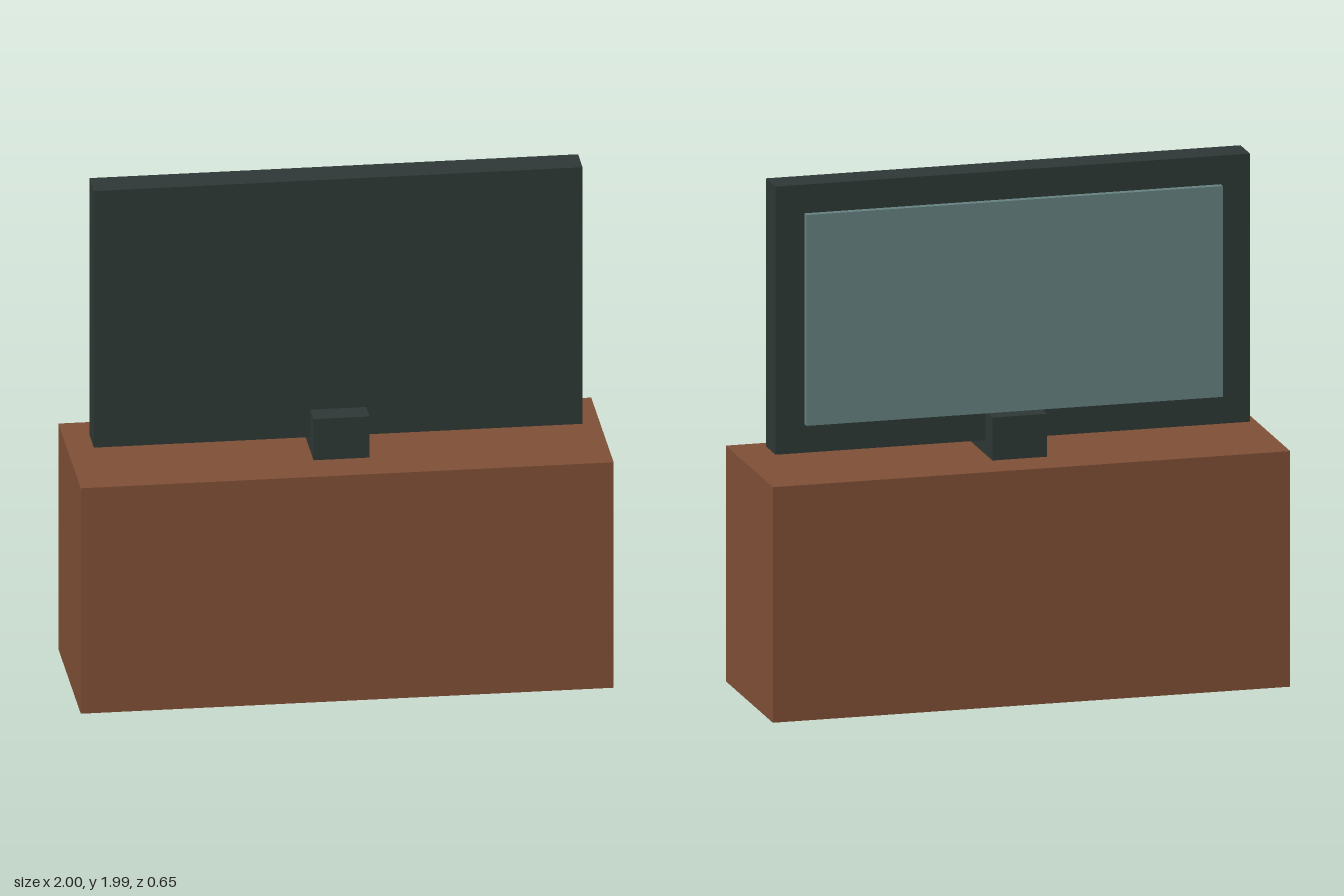
import * as THREE from 'three';

const wood = new THREE.MeshStandardMaterial({ name: 'brown wood', color: 0x7f4f36 });
const plastic = new THREE.MeshStandardMaterial({ name: 'dark casing', color: 0x2e3836 });
const glass = new THREE.MeshStandardMaterial({ name: 'grey green screen', color: 0x668080 });

// Box given by its extents along each axis
function box(name, material, [x0, x1], [y0, y1], [z0, z1]) {
  const mesh = new THREE.Mesh(new THREE.BoxGeometry(x1 - x0, y1 - y0, z1 - z0), material);
  mesh.position.set((x0 + x1) / 2, (y0 + y1) / 2, (z0 + z1) / 2);
  mesh.name = name;
  return mesh;
}

export function createModel() {
  const model = new THREE.Group();
  model.name = 'televisionOnCabinet';

  // Solid cabinet on the floor
  model.add(box('cabinet', wood, [-1, 1], [0, 0.905], [-0.324, 0.324]));

  // Television: foot block, casing and the raised screen on the -z side
  const television = new THREE.Group();
  television.name = 'television';
  television.add(
    box('stand', plastic, [-0.105, 0.105], [0.905, 1.07], [-0.16, 0.16]),
    box('casing', plastic, [-0.917, 0.917], [0.96, 1.99], [-0.065, 0.065]),
    box('screen', glass, [-0.805, 0.805], [1.07, 1.88], [-0.093, -0.065]),
  );
  model.add(television);
  return model;
}
